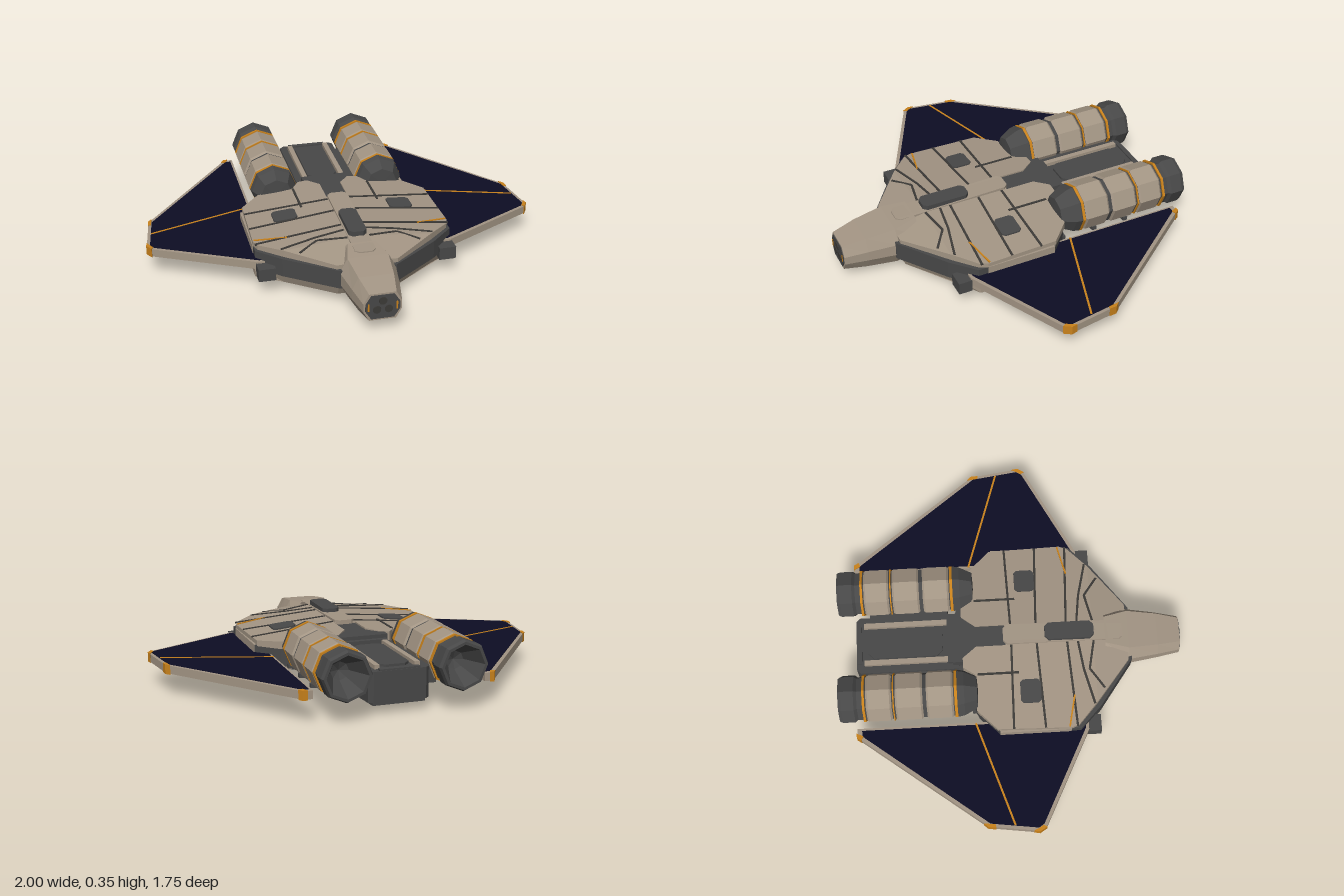
import * as THREE from 'three';

const mat = (name, color) => Object.assign(new THREE.MeshStandardMaterial({ color }), { name });

export function createModel() {
  const root = new THREE.Group();
  root.name = 'ship';
  const beige = mat('hullBeige', 0xa39584);
  const dark = mat('darkGrey', 0x484848);
  const navy = mat('wingNavy', 0x0d0d24);
  const orange = mat('orangeTrim', 0xc9821c);
  const seam = mat('seamGrey', 0x3c3a37);

  const add = (name, geo, material) => {
    const g = geo.index ? geo.toNonIndexed() : geo;
    g.computeVertexNormals();
    const m = new THREE.Mesh(g, material);
    m.name = name;
    root.add(m);
    return m;
  };
  const box = (name, m, x, y, z, w, h, d) => add(name, new THREE.BoxGeometry(w, h, d).translate(x, y, z), m);

  // Plan outline [x, z] raised from y0 to y1; rule(v, isTop) may move vertices
  const slab = (name, m, pts, y0, y1, rule) => {
    const shape = new THREE.Shape(pts.map(([x, z]) => new THREE.Vector2(x, -z)));
    const g = new THREE.ExtrudeGeometry(shape, { depth: y1 - y0, bevelEnabled: false });
    g.rotateX(-Math.PI / 2).translate(0, y0, 0);
    if (rule) {
      const p = g.attributes.position, v = new THREE.Vector3();
      for (let i = 0; i < p.count; i++) {
        v.fromBufferAttribute(p, i);
        rule(v, v.y > (y0 + y1) / 2);
        p.setXYZ(i, v.x, v.y, v.z);
      }
    }
    return add(name, g, m);
  };
  const side = (pts, s) => pts.map(([x, z]) => [x * s, z]);
  const both = pts => [...pts, ...side(pts, -1).reverse()];
  // Rectangle with cut corners
  const oct = (x, z, w, d, c) => [[w, d - c], [w - c, d], [c - w, d], [-w, d - c], [-w, c - d], [c - w, -d], [w - c, -d], [w, c - d]]
    .map(([a, b]) => [x + a, z + b]);
  const skin = (x, z) => 0.265 - 0.095 * Math.abs(x) - 0.2 * Math.max(0, z - 0.42);
  // Narrow bar between two points
  const bar = (name, m, a, b, w, h) => {
    const A = new THREE.Vector3(...a), B = new THREE.Vector3(...b);
    const mesh = add(name, new THREE.BoxGeometry(w, h, A.distanceTo(B)), m);
    mesh.position.copy(A).lerp(B, 0.5);
    mesh.lookAt(B);
  };
  // Eight-sided turned part along z, profile [radius, z]
  const turned = (name, m, pts, x, y, n = 8) => add(name,
    new THREE.LatheGeometry(pts.map(p => new THREE.Vector2(...p)), n).rotateX(Math.PI / 2).translate(x, y, 0), m);

  // Hull layers
  slab('hullBand', dark, both([[0.14, 0.615], [0.38, 0.44], [0.495, 0.33], [0.495, -0.08], [0.39, -0.18], [0.16, -0.28]]), 0.1, 0.195);
  slab('lowerHull', beige, both([[0.14, 0.6], [0.37, 0.43], [0.495, 0.32], [0.495, 0.0], [0.43, -0.06]]), 0.045, 0.105,
    (v, top) => { if (!top && v.z > 0.4) v.z -= 0.03; });
  slab('rearSpineBase', dark, both([[0.13, 0.05], [0.13, -0.3]]), 0.1, 0.252);
  for (const s of [1, -1]) {
    slab('upperHull', beige, side([[0, 0.42], [0, -0.03], [0.055, -0.03], [0.055, -0.18], [0.11, -0.25], [0.16, -0.25], [0.2, -0.19],
      [0.385, -0.19], [0.485, -0.09], [0.495, 0.28], [0.48, 0.32], [0.37, 0.42]], s), 0.19, 0.25,
    (v, top) => { if (top) v.y = skin(v.x, v.z); });
    slab('foredeck', beige, side([[0, 0.42], [0.37, 0.42], [0.15, 0.595], [0, 0.6]], s), 0.19, 0.25,
      (v, top) => { if (top) v.y = skin(v.x, v.z); });
    box('sidePlate', beige, s * 0.49, 0.175, 0.1, 0.016, 0.045, 0.36);
    // Panel seams and deck hatches
    for (const [x1, z1, x2, z2] of [[0.055, 0, 0.488, -0.01], [0.055, 0.13, 0.49, 0.15], [0.055, 0.285, 0.49, 0.31],
      [0.055, 0.34, 0.2, 0.36], [0.2, 0.36, 0.38, 0.405], [0.055, 0.42, 0.2, 0.39], [0.2, 0.39, 0.3, 0.46], [0.2, 0.03, 0.2, -0.18]])
      bar('panelSeam', seam, [s * x1, skin(x1, z1), z1], [s * x2, skin(x2, z2), z2], 0.011, 0.008);
    bar('deckStripe', orange, [s * 0.33, skin(0.33, 0.305), 0.305], [s * 0.49, skin(0.49, 0.27), 0.27], 0.008, 0.009);
    slab('deckHatch', dark, oct(s * 0.3, 0.085, 0.06, 0.052, 0.015), 0.22, 0.25,
      (v, top) => { if (top) v.y = skin(v.x, v.z) + 0.008; });
    box('wingHinge', dark, s * 0.455, 0.113, 0.4, 0.085, 0.065, 0.07);
  }
  slab('spineStrip', beige, oct(0, 0.265, 0.052, 0.305, 0.02), 0.22, 0.274,
    (v, top) => { if (top && v.z > 0.5) v.y -= 0.015; });
  slab('canopy', dark, oct(0, 0.297, 0.045, 0.125, 0.02), 0.26, 0.288);

  // Nose lofted through octagonal sections: z, half width, half flat, bottom, top
  const ring = ([z, w, f, b, t]) => {
    const h = t - b;
    return [[w, b + h * 0.35], [w, b + h * 0.65], [f, t], [-f, t], [-w, b + h * 0.65], [-w, b + h * 0.35], [-f, b], [f, b]].map(p => [...p, z]);
  };
  const rings = [[0.48, 0.13, 0.07, 0.045, 0.262], [0.6, 0.138, 0.1, 0.045, 0.25], [0.75, 0.115, 0.085, 0.055, 0.23], [0.868, 0.092, 0.065, 0.065, 0.205]].map(ring);
  const tri = [];
  for (let k = 0; k < 3; k++) for (let i = 0; i < 8; i++) {
    const j = (i + 1) % 8, [a, b, c, d] = [rings[k][i], rings[k][j], rings[k + 1][j], rings[k + 1][i]];
    tri.push(...a, ...b, ...c, ...a, ...c, ...d);
  }
  for (let i = 1; i < 7; i++) tri.push(...rings[3][0], ...rings[3][i], ...rings[3][i + 1]);
  add('nose', new THREE.BufferGeometry().setAttribute('position', new THREE.Float32BufferAttribute(tri, 3)), beige);
  const face = new THREE.Shape(ring([0, 0.083, 0.055, 0.073, 0.197]).map(p => new THREE.Vector2(p[0], p[1])));
  add('nosePlate', new THREE.ExtrudeGeometry(face, { depth: 0.006, bevelEnabled: false }).translate(0, 0, 0.865), dark);
  for (const [x, y] of [[0, 0.167], [-0.028, 0.122], [0.028, 0.122]])
    add('noseSensor', new THREE.CylinderGeometry(0.02, 0.02, 0.008, 10).rotateX(Math.PI / 2).translate(x, y, 0.871), seam);
  for (const s of [1, -1]) box('noseLight', orange, s * 0.068, 0.136, 0.871, 0.008, 0.04, 0.005);

  // Rear body between the engines
  slab('rearBody', dark, both([[0.15, -0.27], [0.15, -0.77], [0.13, -0.79]]), 0.06, 0.21);
  slab('rearPanel', dark, oct(0, -0.54, 0.078, 0.19, 0.03), 0.2, 0.222);
  box('rearCap', dark, 0, 0.208, -0.775, 0.2, 0.02, 0.025);
  box('frontStep', dark, 0, 0.218, -0.3, 0.24, 0.03, 0.05);
  slab('keel', dark, both([[0.3, -0.05], [0.18, -0.24], [0.13, -0.78]]), 0.045, 0.105);
  box('keelPlate', dark, 0, 0.037, -0.51, 0.15, 0.02, 0.38);

  for (const s of [1, -1]) {
    box('deckRail', beige, s * 0.1, 0.218, -0.53, 0.026, 0.024, 0.44);
    box('keelRail', dark, s * 0.105, 0.045, -0.42, 0.02, 0.025, 0.6);
    box('enginePylon', dark, s * 0.17, 0.155, -0.52, 0.08, 0.09, 0.4);
    for (const z of [-0.2, -0.38, -0.56])
      slab('engineRib', dark, side([[0.1, z + 0.025], [0.36, z + 0.012], [0.36, z - 0.012], [0.1, z - 0.025]], s), 0.075, 0.115,
        (v, top) => { if (!top && Math.abs(v.x) > 0.3) v.y += 0.02; });

    // Engine: core, nozzle, sleeves and rings
    const ex = s * 0.285, ey = 0.222;
    turned('engineCore', dark, [[0.116, -0.76], [0.116, -0.3], [0.124, -0.28], [0.118, -0.25], [0.084, -0.185], [0, -0.18]], ex, ey);
    turned('engineNozzle', dark, [[0, -0.74], [0.045, -0.76], [0.102, -0.878], [0.116, -0.878], [0.124, -0.86], [0.124, -0.8], [0.112, -0.785], [0.116, -0.75]], ex, ey);
    for (const [a, b] of [[-0.742, -0.61], [-0.596, -0.455], [-0.441, -0.302]])
      turned('engineSleeve', beige, [[0.114, a], [0.125, a + 0.012], [0.125, b - 0.012], [0.114, b]], ex, ey);
    for (const [z, w] of [[-0.752, 0.006], [-0.603, 0.003], [-0.292, 0.007]])
      turned('engineRing', orange, [[0.11, z - w], [0.125, z - w], [0.125, z + w], [0.11, z + w]], ex, ey);

    // Wing: frame, panels, struts and corner caps
    slab('wingFrame', beige, side([[0.425, -0.8], [0.47, -0.8], [0.96, -0.16], [0.995, 0.09], [0.972, 0.125], [0.49, 0.37], [0.425, 0.37]], s), 0.115, 0.155);
    const panel = side([[0.437, -0.775], [0.465, -0.775], [0.945, -0.152], [0.978, 0.085], [0.96, 0.112], [0.48, 0.355], [0.437, 0.355]], s);
    slab('wingTopPanel', navy, panel, 0.153, 0.158);
    slab('wingBottomPanel', dark, panel, 0.112, 0.117);
    for (const y of [0.157, 0.113])
      bar('wingStripe', orange, [s * 0.43, y, -0.2], [s * 0.96, y, -0.03], 0.01, 0.006);
    slab('wingCap', orange, side([[0.45, -0.803], [0.473, -0.803], [0.488, -0.78], [0.465, -0.77]], s), 0.111, 0.159);
    slab('wingCap', orange, side([[0.943, -0.185], [0.963, -0.163], [0.966, -0.125], [0.95, -0.128]], s), 0.111, 0.159);
    slab('wingCap', orange, side([[0.992, 0.06], [0.998, 0.09], [0.975, 0.127], [0.966, 0.108], [0.98, 0.085]], s), 0.111, 0.159);

    // Landing pads
    slab('landingPad', dark, oct(s * 0.225, 0.165, 0.085, 0.14, 0.04), 0.015, 0.05,
      (v, top) => { if (!top) { v.x = s * 0.225 + (v.x - s * 0.225) * 0.85; v.z = 0.165 + (v.z - 0.165) * 0.9; } });
    slab('padInset', seam, oct(s * 0.225, 0.165, 0.05, 0.09, 0.025), 0.008, 0.016);
  }

  // Belly hatch ring and service block
  add('bellyRing', new THREE.CylinderGeometry(0.095, 0.08, 0.035, 12).translate(0, 0.034, 0.44), dark);
  add('bellyRim', new THREE.TorusGeometry(0.066, 0.012, 4, 12).rotateX(Math.PI / 2).translate(0, 0.015, 0.44), dark);
  slab('bellyBlock', dark, oct(0, 0.25, 0.05, 0.08, 0.02), 0.02, 0.05);
  add('bellySensor', new THREE.CylinderGeometry(0.012, 0.006, 0.03, 8).translate(0, 0.015, 0.24), seam);
  return root;
}
